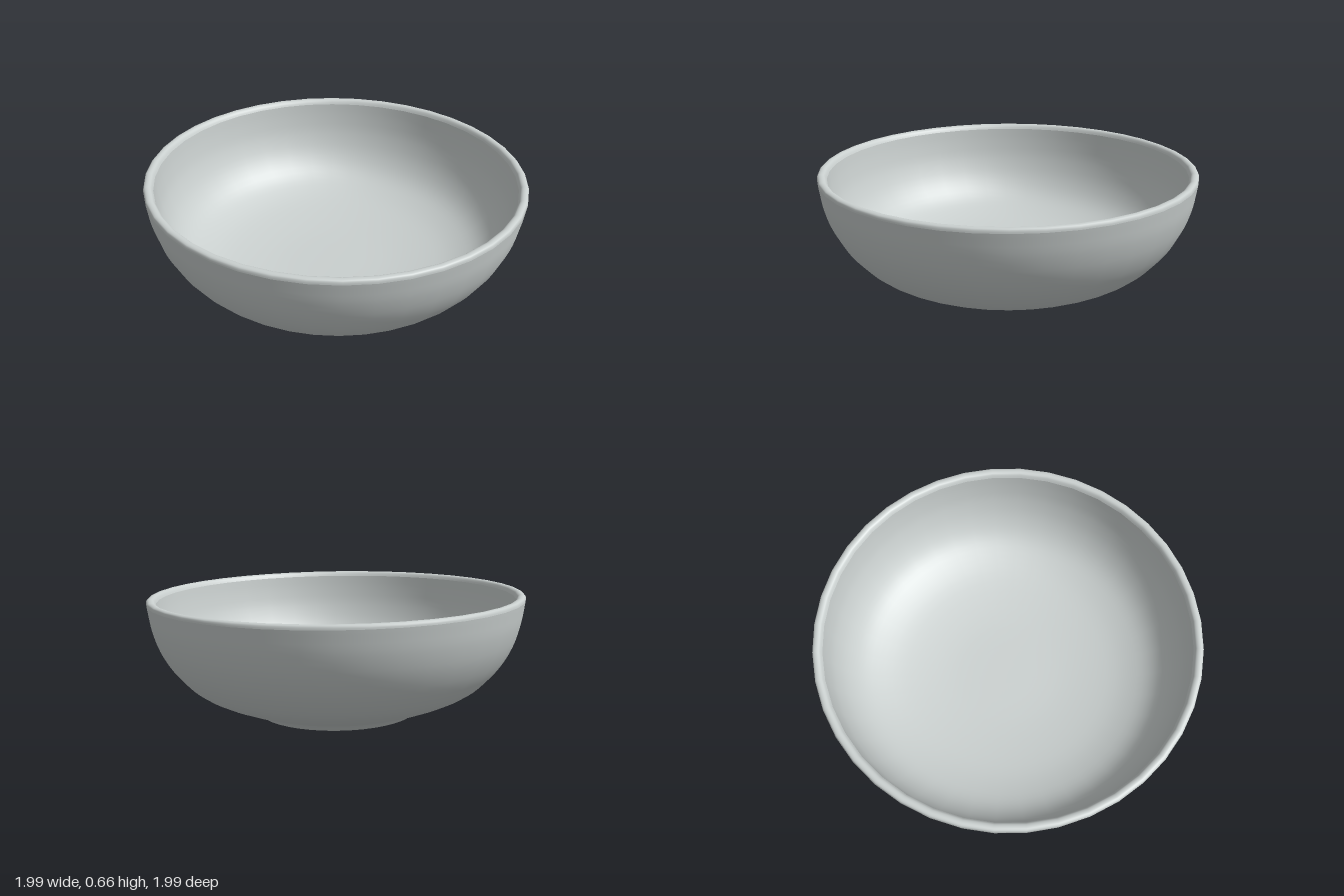
import * as THREE from 'three';

export function createModel() {
  const model = new THREE.Group();
  const bowl = new THREE.Group();
  bowl.name = 'bowl';
  const glaze = new THREE.MeshStandardMaterial({ color: 0xc9cfce });
  glaze.name = 'pale grey glaze';

  // Spins a smooth profile of [radius, height] points about the upright axis
  const turn = (name, profile, steps) => {
    const curve = new THREE.SplineCurve(profile.map(([r, y]) => new THREE.Vector2(r, y)));
    const points = curve.getPoints(steps);
    points.forEach((p) => { p.x = Math.max(p.x, 0); });
    const mesh = new THREE.Mesh(new THREE.LatheGeometry(points, 40), glaze);
    mesh.name = name;
    bowl.add(mesh);
  };

  // Hollow under the foot, then the narrow ring it stands on
  turn('footHollow', [[0, 0.05], [0.2, 0.049], [0.32, 0.042], [0.37, 0.02], [0.395, 0.007]], 12);
  turn('footRing', [[0.395, 0.007], [0.425, 0.008], [0.45, 0.026], [0.48, 0.046]], 6);

  // Rounded outside wall
  turn('outerWall', [
    [0.48, 0.046], [0.6, 0.088], [0.72, 0.142], [0.8, 0.2], [0.88, 0.29],
    [0.94, 0.395], [0.975, 0.5], [0.99, 0.585], [0.996, 0.625],
  ], 24);

  // Soft lip
  turn('rim', [[0.996, 0.625], [0.992, 0.642], [0.975, 0.648], [0.957, 0.642], [0.946, 0.622]], 10);

  // Steep inside wall running into a shallow floor
  turn('innerWall', [
    [0.946, 0.622], [0.936, 0.54], [0.915, 0.44], [0.87, 0.33], [0.8, 0.24],
    [0.7, 0.18], [0.55, 0.135], [0.3, 0.105], [0, 0.1],
  ], 28);

  // Slight handmade lean toward the front left
  bowl.rotation.set(0.01, 0, -0.01);
  model.add(bowl);
  return model;
}
